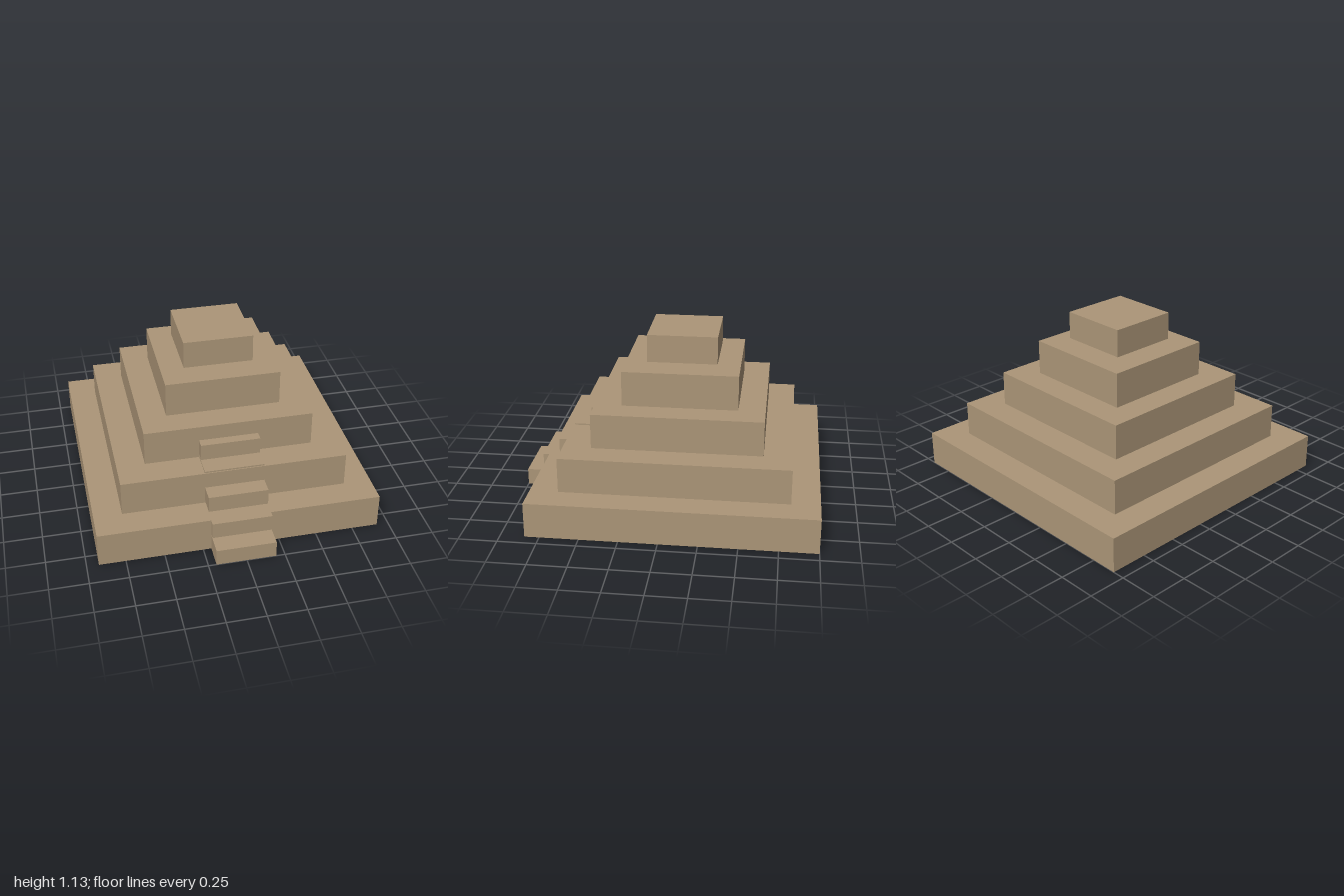
import * as THREE from 'three';

export function createModel() {
  const group = new THREE.Group();
  group.name = 'steppedPyramid';
  const sandstone = new THREE.MeshStandardMaterial({ color: 0xac9678 });
  sandstone.name = 'sandstone';

  // Box given by its width, depth, vertical extent and centre
  function block(name, width, depth, y0, y1, x, z) {
    const mesh = new THREE.Mesh(new THREE.BoxGeometry(width, y1 - y0, depth), sandstone);
    mesh.name = name;
    mesh.position.set(x, (y0 + y1) / 2, z);
    group.add(mesh);
  }

  // Four stacked square terraces, set back from the stair
  const centreZ = -0.078;
  const tierHeight = 0.232;
  [1.845, 1.476, 1.107, 0.756].forEach((size, i) => {
    block(`terrace${i + 1}`, size, size, i * tierHeight, (i + 1) * tierHeight, 0, centreZ);
  });

  // Shrine block floating just above the top terrace
  block('shrine', 0.46, 0.46, 0.95, 1.134, 0, centreZ);

  // Stair slabs climbing the front, partly buried in the terraces
  const stepDepth = 0.23;
  for (let i = 0; i < 5; i++) {
    const y = i * 0.121;
    const front = 1 - i * 0.1155;
    block(`stairStep${i + 1}`, 0.39, stepDepth, y, y + 0.111, -0.003, front - stepDepth / 2);
  }
  return group;
}
